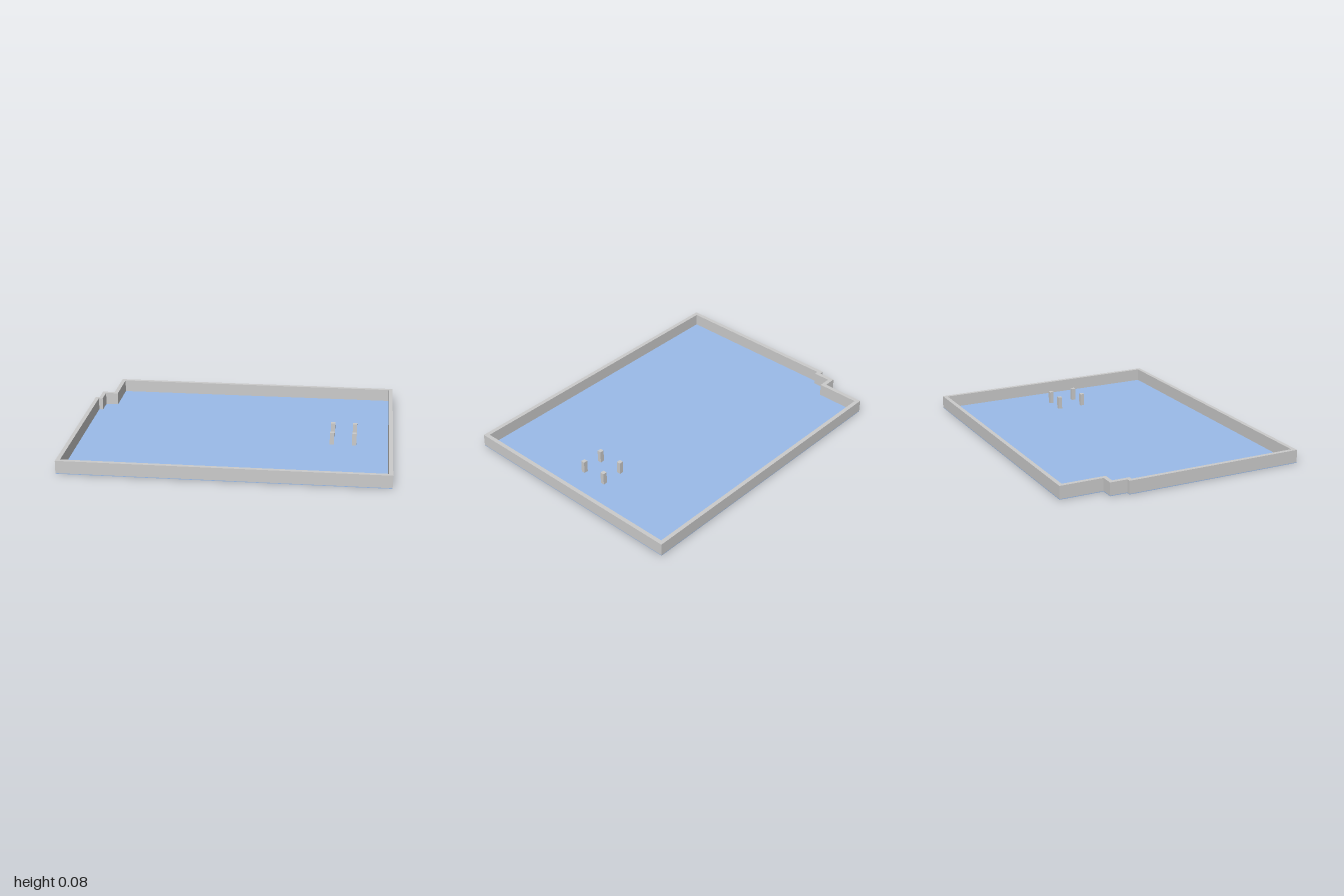
import * as THREE from 'three';

const HEIGHT = 0.083, FLOOR = 0.004, WALL = 0.026;

// Plan outline as [x, z], with the stepped back corner
const OUTLINE = [
  [-1, 0.763], [1, 0.763], [1, -0.763], [-0.893, -0.763],
  [-0.893, -0.487], [-0.974, -0.487], [-0.974, -0.377], [-1, -0.377],
];

// Moves every edge of a right-angled outline inwards by d
function inset(points, d) {
  const n = points.length;
  return points.map(([x, z], i) => {
    const [px, pz] = points[(i + n - 1) % n];
    const [nx, nz] = points[(i + 1) % n];
    const dx = Math.sign(x - px) + Math.sign(nx - x);
    const dz = Math.sign(z - pz) + Math.sign(nz - z);
    return [x + dz * d, z - dx * d];
  });
}

const toVectors = (points) => points.map(([x, z]) => new THREE.Vector2(x, -z));

// Extrudes a plan shape upwards from y = bottom
function slab(shape, bottom, height) {
  const geometry = new THREE.ExtrudeGeometry(shape, { depth: height, bevelEnabled: false });
  return geometry.rotateX(-Math.PI / 2).translate(0, bottom, 0);
}

export function createModel() {
  const group = new THREE.Group();
  const grey = new THREE.MeshStandardMaterial({ color: 0xcccccc });
  const blue = new THREE.MeshStandardMaterial({ color: 0x9abbe9 });

  const add = (name, geometry, material) => {
    const mesh = new THREE.Mesh(geometry, material);
    mesh.name = name;
    group.add(mesh);
    return mesh;
  };

  // Thin floor under the whole plan
  add('floor', slab(new THREE.Shape(toVectors(OUTLINE)), 0, FLOOR), blue);

  // Perimeter wall of even thickness
  const ring = new THREE.Shape(toVectors(OUTLINE));
  ring.holes.push(new THREE.Path(toVectors(inset(OUTLINE, WALL))));
  add('perimeterWall', slab(ring, FLOOR, HEIGHT - FLOOR), grey);

  // Four square columns
  const column = new THREE.BoxGeometry(0.027, HEIGHT - FLOOR, 0.025);
  for (const x of [0.62, 0.76]) {
    for (const z of [-0.06, 0.107]) {
      add('column', column, grey).position.set(x, (HEIGHT + FLOOR) / 2, z);
    }
  }
  return group;
}
